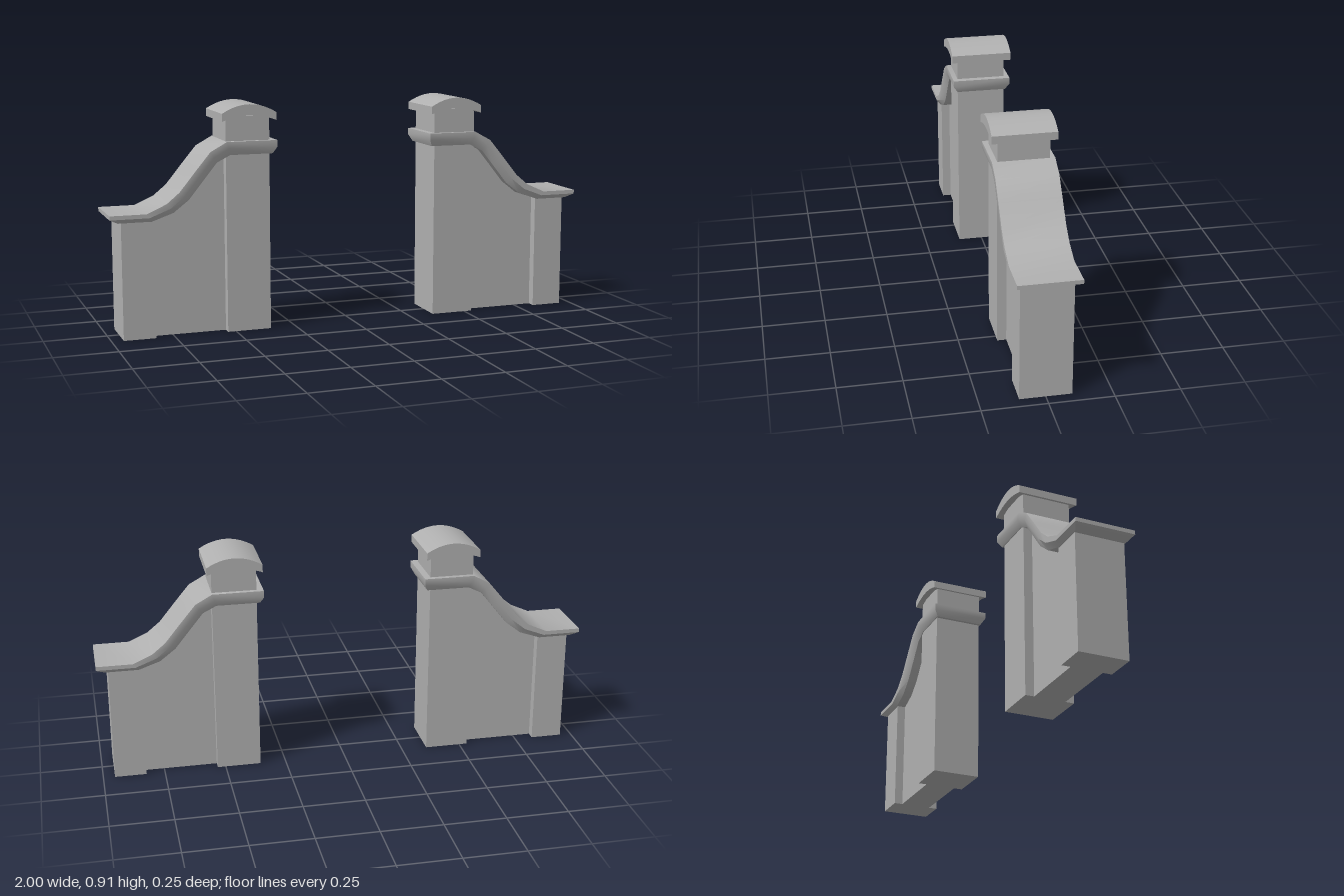
import * as THREE from 'three';
import { toCreasedNormals } from 'three/addons/utils/BufferGeometryUtils.js';

const stone = new THREE.MeshStandardMaterial({ color: 0xb0b0b0 });
stone.name = 'grey stone';

// Coping lines as [x, y], from the tall end to the low end
const topLine = [[0.328, 0.765], [0.533, 0.765], [0.6, 0.728], [0.66, 0.656], [0.725, 0.576], [0.777, 0.533], [0.855, 0.498], [1, 0.498]];
const midLine = [[0.328, 0.738], [0.525, 0.738], [0.585, 0.706], [0.641, 0.638], [0.704, 0.56], [0.762, 0.514], [0.845, 0.482], [1, 0.482]];
const lowLine = [[0.342, 0.711], [0.516, 0.711], [0.57, 0.684], [0.622, 0.62], [0.684, 0.543], [0.746, 0.495], [0.832, 0.465], [0.965, 0.465]];

function add(group, name, geometry) {
  const mesh = new THREE.Mesh(geometry, stone);
  mesh.name = name;
  group.add(mesh);
}

function block(x0, x1, height, depth) {
  return new THREE.BoxGeometry(x1 - x0, height, depth).translate((x0 + x1) / 2, height / 2, 0);
}

function extrude(shape, depth) {
  const geometry = new THREE.ExtrudeGeometry(shape, { depth, bevelEnabled: false, curveSegments: 12 });
  return toCreasedNormals(geometry.translate(0, 0, -depth / 2), 0.5);
}

// Six-sided section swept along the coping lines, chamfered underneath
function copingGeometry() {
  const positions = [], index = [];
  topLine.forEach((t, i) => {
    const m = midLine[i], b = lowLine[i];
    positions.push(...t, 0.12, ...t, -0.12, ...m, -0.12, ...b, -0.103, ...b, 0.103, ...m, 0.12);
  });
  const last = topLine.length - 1;
  for (let i = 0; i < last; i++) {
    for (let k = 0; k < 6; k++) {
      const a = i * 6 + k, b = i * 6 + (k + 1) % 6;
      index.push(a, a + 6, b, b, a + 6, b + 6);
    }
  }
  // End faces
  for (const [a, b, c] of [[0, 1, 2], [0, 2, 5], [5, 2, 3], [5, 3, 4]]) {
    index.push(a, b, c, last * 6 + a, last * 6 + c, last * 6 + b);
  }
  const geometry = new THREE.BufferGeometry();
  geometry.setAttribute('position', new THREE.Float32BufferAttribute(positions, 3));
  geometry.setIndex(index);
  return toCreasedNormals(geometry, 0.6);
}

function wallSection(name) {
  const group = new THREE.Group();
  group.name = name;
  add(group, 'tallPillar', block(0.355, 0.533, 0.862, 0.2));
  add(group, 'lowPillar', block(0.825, 0.953, 0.475, 0.2));

  // Recessed panel whose top follows the coping
  const panel = new THREE.Shape();
  panel.moveTo(0.52, 0);
  panel.lineTo(0.84, 0);
  midLine.slice(1, 7).reverse().forEach(([x, y]) => panel.lineTo(x, y - 0.008));
  add(group, 'recessedPanel', extrude(panel, 0.128));

  add(group, 'coping', copingGeometry());

  // Arched cap stone
  const cap = new THREE.Shape();
  cap.moveTo(0.332, 0.845);
  cap.quadraticCurveTo(0.4425, 0.887, 0.553, 0.845);
  cap.lineTo(0.553, 0.876);
  cap.quadraticCurveTo(0.4425, 0.944, 0.332, 0.876);
  add(group, 'pillarCap', extrude(cap, 0.25));
  return group;
}

export function createModel() {
  const model = new THREE.Group();
  model.name = 'gatewayWalls';
  const left = wallSection('leftWall');
  // The section is the same front and back, so a half turn gives its mirror
  const right = wallSection('rightWall');
  right.rotation.y = Math.PI;
  model.add(left, right);
  return model;
}
